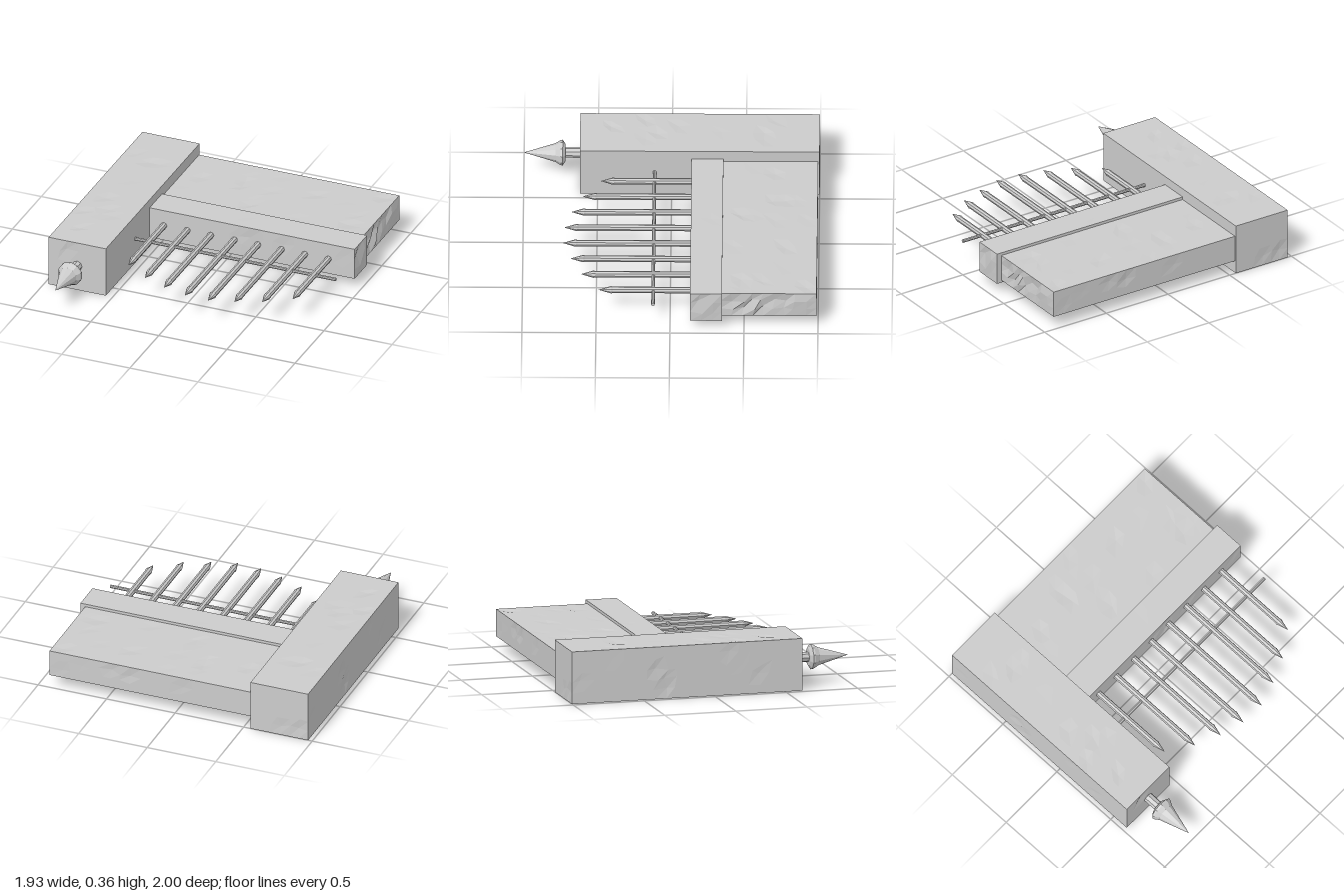
import * as THREE from 'three';

const stone = new THREE.MeshStandardMaterial({ color: 0xcccccc, flatShading: true });
const metal = new THREE.MeshStandardMaterial({ color: 0xcccccc, flatShading: true });
const MID_Y = 0.185;

// Small seeded generator for the chipped stone
function seeded(seed) {
  return () => {
    seed = (seed * 16807) % 2147483647;
    return seed / 2147483647;
  };
}

function add(group, name, geometry, material, x = 0, y = 0, z = 0) {
  const mesh = new THREE.Mesh(geometry, material);
  mesh.name = name;
  mesh.position.set(x, y, z);
  group.add(mesh);
  return mesh;
}

// Block with straight edges, sparse shallow dents and an optional rough +x end
function stoneBlock(min, max, seed, endDepth = 0) {
  const rand = seeded(seed);
  const size = max.map((v, i) => v - min[i]);
  const seg = size.map((s) => Math.max(3, Math.round(s / 0.075)));
  const geo = new THREE.BoxGeometry(...size, ...seg);
  const pos = geo.attributes.position;
  const nor = geo.attributes.normal;
  for (let i = 0; i < pos.count; i++) {
    const p = [pos.getX(i), pos.getY(i), pos.getZ(i)];
    const n = [nor.getX(i), nor.getY(i), nor.getZ(i)];
    const face = n.findIndex((v) => Math.abs(v) > 0.5);
    const onEdge = p.some((v, k) => k !== face && Math.abs(v) > size[k] / 2 - 1e-4);
    if (onEdge) continue;
    const dent = n[0] > 0.5 ? endDepth * (rand() - 0.5) : rand() < 0.12 ? -0.007 * rand() : 0;
    for (let k = 0; k < 3; k++) {
      p[k] += k === face ? n[k] * dent : (rand() - 0.5) * 0.5 * (size[k] / seg[k]);
    }
    pos.setXYZ(i, ...p);
  }
  geo.translate(...min.map((v, i) => (v + max[i]) / 2));
  geo.computeVertexNormals();
  return geo;
}

// Lathe profile of [radius, z] pairs turned to run along z
function turned(profile, sides) {
  const points = profile.map(([r, z]) => new THREE.Vector2(r, z));
  return new THREE.LatheGeometry(points, sides).rotateX(Math.PI / 2);
}

export function createModel() {
  const model = new THREE.Group();
  model.name = 'fenceWallSection';

  // Stone work
  add(model, 'pillar', stoneBlock([-0.97, 0, -1], [-0.55, 0.36, 0.62], 11), stone);
  add(model, 'wall', stoneBlock([-0.56, 0.09, -0.99], [0.92, 0.278, -0.34], 23, 0.03), stone);
  add(model, 'wallCap', stoneBlock([-0.56, 0.072, -0.35], [0.955, 0.298, -0.135], 37, 0.02), stone);

  // Pillar finial: stem and flared spear head
  const finial = new THREE.Group();
  finial.name = 'finial';
  finial.position.set(-0.76, MID_Y, 0);
  add(finial, 'finialStem', turned([[0.036, 0.6], [0.034, 0.74]], 8), metal);
  add(finial, 'finialHead', turned(
    [[0, 0.72], [0.06, 0.72], [0.087, 0.737], [0.085, 0.752], [0.064, 0.785], [0, 1]], 10), metal);
  model.add(finial);

  // Row of pointed bars whose tips follow an arch
  const tips = [0.48, 0.6, 0.675, 0.722, 0.73, 0.677, 0.605, 0.485];
  const fence = new THREE.Group();
  fence.name = 'fence';
  tips.forEach((tip, i) => {
    const geo = turned([[0.022, -0.15], [0.022, tip - 0.1], [0.025, tip - 0.085], [0, tip]], 8);
    add(fence, 'spike' + (i + 1), geo, metal, -0.445 + i * 0.1726, MID_Y, 0);
  });

  // Cross rail through the bars
  const rail = new THREE.CylinderGeometry(0.012, 0.012, 1.49, 8).rotateZ(Math.PI / 2);
  add(fence, 'crossRail', rail, metal, 0.18, MID_Y, 0.115);
  model.add(fence);

  return model;
}
